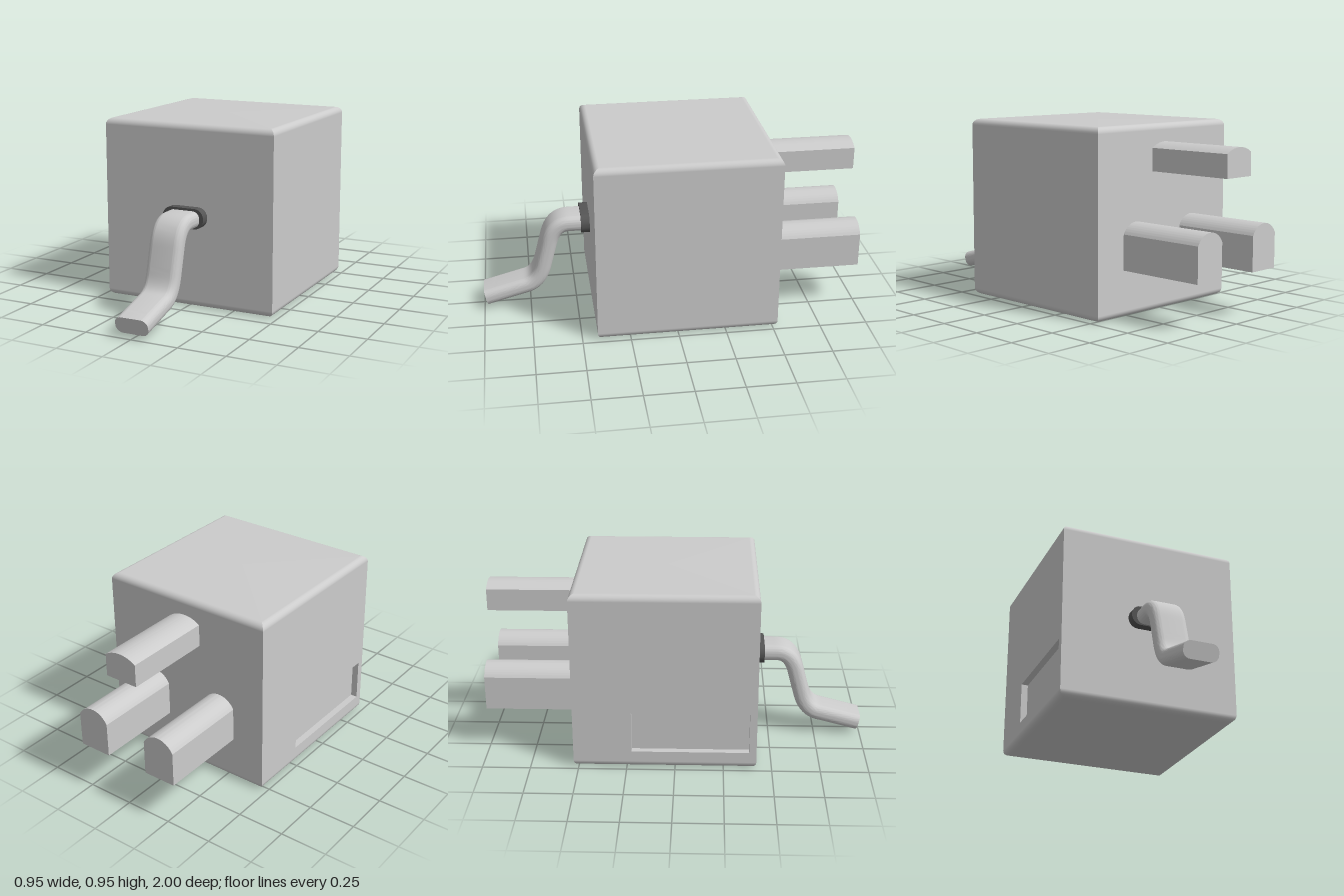
import * as THREE from 'three';
import { toCreasedNormals } from 'three/addons/utils/BufferGeometryUtils.js';

const grey = new THREE.MeshStandardMaterial({ color: 0xcccccc });
const dark = new THREE.MeshStandardMaterial({ color: 0x555555 });
const thin = new THREE.MeshStandardMaterial({ color: 0xcccccc, side: THREE.DoubleSide });

const HALF = 0.4735, HEIGHT = 0.95, ROUND = 0.033, MID_Z = -0.053;

function part(name, geometry, material = grey) {
  const mesh = new THREE.Mesh(geometry, material);
  mesh.name = name;
  return mesh;
}

// Rectangle with rounded corners, centred on the origin
function roundedRect(w, h, r) {
  const x = w / 2 - r, y = h / 2 - r, q = Math.PI / 2;
  return new THREE.Shape()
    .absarc(x, y, r, 0, q)
    .absarc(-x, y, r, q, 2 * q)
    .absarc(-x, -y, r, 2 * q, 3 * q)
    .absarc(x, -y, r, 3 * q, 4 * q);
}

function rect(target, x0, y0, x1, y1) {
  return target.moveTo(x0, y0).lineTo(x1, y0).lineTo(x1, y1).lineTo(x0, y1).closePath();
}

// Four-sided lathe: top and bottom edges rounded, upright edges sharp
function bodyGeometry() {
  const points = [new THREE.Vector2(0, 0)];
  const steps = 6;
  for (const end of [0, 1]) {
    for (let i = 0; i <= steps; i++) {
      const a = (end + i / steps - 1) * Math.PI / 2;
      const cy = end ? HEIGHT - ROUND : ROUND;
      points.push(new THREE.Vector2(
        (HALF - ROUND + ROUND * Math.cos(a)) * Math.SQRT2, cy + ROUND * Math.sin(a)));
    }
  }
  points.push(new THREE.Vector2(0, HEIGHT));
  const geo = new THREE.LatheGeometry(points, 4, Math.PI / 4).toNonIndexed();
  const pos = geo.attributes.position, keep = [];
  for (let i = 0; i < pos.count; i += 3) {
    const corners = [i, i + 1, i + 2];
    // Normals: flat across each side, turning only within the rounded edges
    const cx = corners.reduce((sum, k) => sum + pos.getX(k), 0);
    const cz = corners.reduce((sum, k) => sum + pos.getZ(k), 0);
    const alongX = Math.abs(cx) > Math.abs(cz);
    for (const k of corners) {
      const y = pos.getY(k);
      const up = THREE.MathUtils.clamp(y / ROUND - 1, -1, 0)
        + THREE.MathUtils.clamp((y - HEIGHT) / ROUND + 1, 0, 1);
      const out = Math.sqrt(1 - up * up);
      geo.attributes.normal.setXYZ(k, alongX ? Math.sign(cx) * out : 0, up, alongX ? 0 : Math.sign(cz) * out);
    }
    // Leave out the flat right side, which has its own panel with an opening
    if (!corners.every(k => pos.getX(k) < -HALF + 1e-4)) keep.push(...corners);
  }
  geo.setIndex(keep);
  return geo.translate(0, 0, MID_Z);
}

// Floor and four inward-facing walls of a window sunk into the right side
function labelRecess({ z0, z1, y0, y1, depth }) {
  const group = new THREE.Group();
  group.name = 'labelRecess';
  const w = z1 - z0, h = y1 - y0;
  const floor = part('recessFloor', new THREE.PlaneGeometry(w, h).rotateY(-Math.PI / 2), thin);
  floor.position.x = depth / 2;
  group.add(floor);
  for (const s of [-1, 1]) {
    const level = part('recessLedge', new THREE.PlaneGeometry(depth, w).rotateX(s * Math.PI / 2), thin);
    level.position.y = s * h / 2;
    const upright = part('recessEnd', new THREE.PlaneGeometry(depth, h), thin);
    upright.rotation.y = s > 0 ? Math.PI : 0;
    upright.position.z = s * w / 2;
    group.add(level, upright);
  }
  group.position.set(-HALF + depth / 2, (y0 + y1) / 2, (z0 + z1) / 2);
  return group;
}

// Bar with a flat base and arched top, running backwards from the body
function pin(name, x, width, bottom, shoulder, top) {
  const w = width / 2, s = top - shoulder;
  const radius = (w * w + s * s) / (2 * s), a = Math.asin(w / radius);
  const shape = new THREE.Shape().moveTo(-w, bottom).lineTo(w, bottom)
    .absarc(0, top - radius, radius, Math.PI / 2 - a, Math.PI / 2 + a);
  const geo = new THREE.ExtrudeGeometry(shape, { depth: 0.48, bevelEnabled: false, curveSegments: 16 });
  const mesh = part(name, toCreasedNormals(geo, 0.4));
  mesh.position.set(x, 0, -1);
  return mesh;
}

// Flat cable swept along an S-shaped path
function cableGeometry() {
  const p = (z, y) => new THREE.Vector3(0, y, z);
  const path = new THREE.CurvePath();
  path.add(new THREE.LineCurve3(p(0.44, 0.473), p(0.53, 0.473)));
  path.add(new THREE.QuadraticBezierCurve3(p(0.53, 0.473), p(0.61, 0.473), p(0.637, 0.37)));
  path.add(new THREE.LineCurve3(p(0.637, 0.37), p(0.675, 0.23)));
  path.add(new THREE.QuadraticBezierCurve3(p(0.675, 0.23), p(0.7, 0.14), p(0.765, 0.121)));
  path.add(new THREE.LineCurve3(p(0.765, 0.121), p(0.989, 0.062)));
  const curve = new THREE.CatmullRomCurve3(path.getSpacedPoints(30));
  const geo = new THREE.ExtrudeGeometry(roundedRect(0.086, 0.18, 0.037),
    { steps: 48, extrudePath: curve, curveSegments: 8 });
  return toCreasedNormals(geo, 0.7);
}

export function createModel() {
  const model = new THREE.Group();
  model.name = 'plugAdapter';

  // Body with a recessed label window on its right side
  const body = new THREE.Group();
  body.name = 'body';
  const win = { z0: -0.225, z1: 0.383, y0: 0.09, y1: 0.31, depth: 0.035 };
  const side = rect(new THREE.Shape(), MID_Z - HALF, ROUND, MID_Z + HALF, HEIGHT - ROUND);
  side.holes.push(rect(new THREE.Path(), win.z0, win.y0, win.z1, win.y1));
  const panel = part('sidePanel', new THREE.ShapeGeometry(side).rotateY(-Math.PI / 2));
  panel.position.x = -HALF;
  body.add(part('shell', bodyGeometry()), panel, labelRecess(win));
  model.add(body);

  // Three pins at the back
  model.add(pin('earthPin', 0, 0.18, 0.713, 0.83, 0.858));
  for (const s of [-1, 1]) {
    model.add(pin(s < 0 ? 'rightPin' : 'leftPin', s * 0.207, 0.176, 0.237, 0.417, 0.472));
  }

  // Cable collar and cable at the front
  const collar = part('cableCollar', toCreasedNormals(new THREE.ExtrudeGeometry(
    roundedRect(0.23, 0.105, 0.05), { depth: 0.056, bevelEnabled: false, curveSegments: 3 }), 0.6), dark);
  collar.position.set(-0.003, 0.476, 0.41);
  model.add(collar, part('cable', cableGeometry()));

  return model;
}
